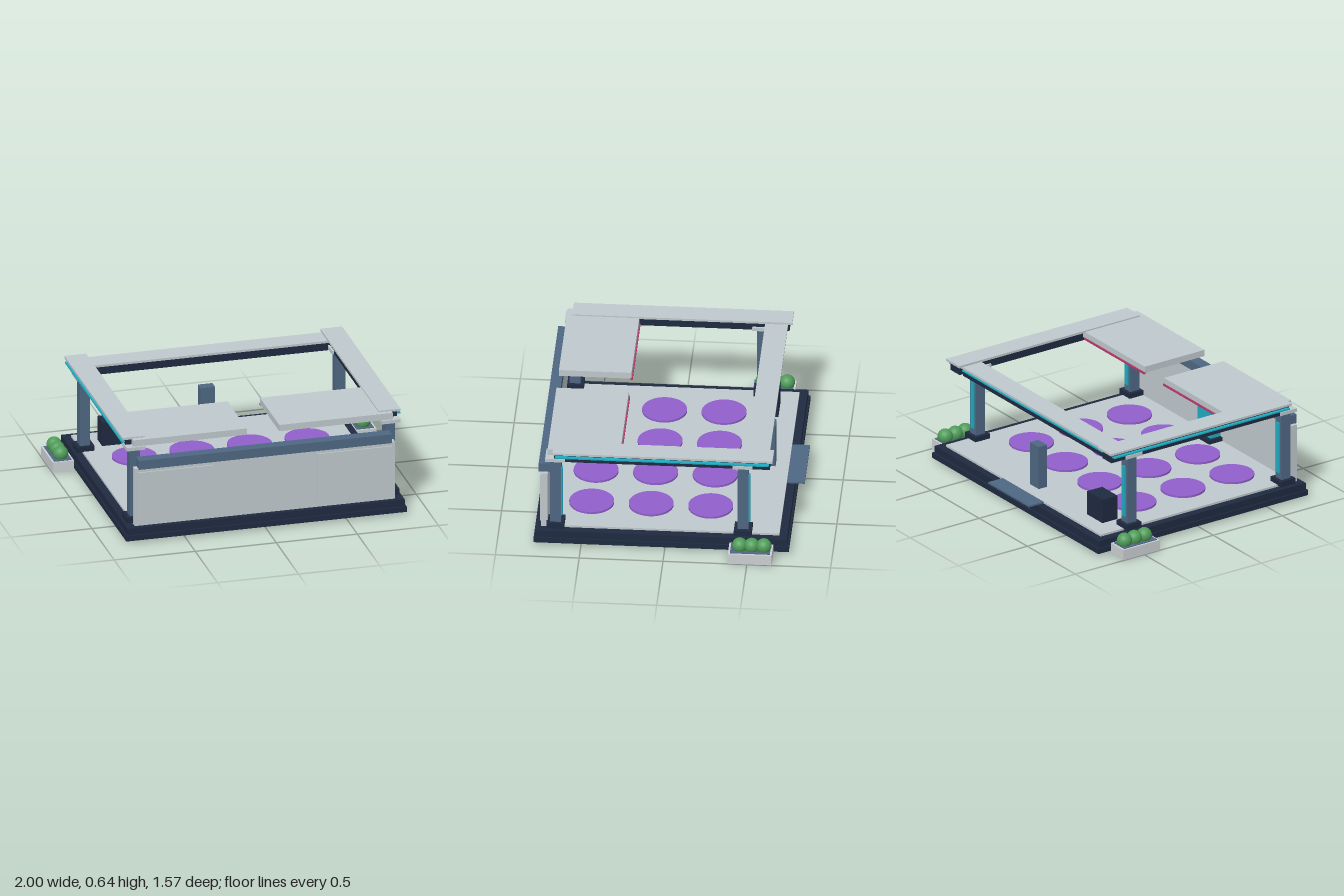
import * as THREE from 'three';

const mat = (name, color) => {
  const m = new THREE.MeshStandardMaterial({ color });
  m.name = name;
  return m;
};

export function createModel() {
  const light = mat('light grey', 0xbfc8cc);
  const pale = mat('pale planter', 0xcbd0d3);
  const navy = mat('dark navy', 0x1f2a41);
  const steel = mat('steel blue', 0x4e6782);
  const purple = mat('purple', 0x915fcb);
  const cyan = mat('cyan', 0x1fabc0);
  const green = mat('leaf green', 0x4f9c59);
  const pink = mat('pink', 0xb8386a);

  const model = new THREE.Group();
  model.name = 'pavilion';

  // Box given by its minimum and maximum on each axis
  const box = (name, material, [x0, x1], [y0, y1], [z0, z1], parent = model) => {
    const mesh = new THREE.Mesh(new THREE.BoxGeometry(x1 - x0, y1 - y0, z1 - z0), material);
    mesh.position.set((x0 + x1) / 2, (y0 + y1) / 2, (z0 + z1) / 2);
    mesh.name = name;
    parent.add(mesh);
    return mesh;
  };
  // x range on one side of the model
  const side = (s, a, b) => (s > 0 ? [a, b] : [-b, -a]);

  // Stepped plinth, floor and rear step
  box('plinthLower', navy, [-0.865, 0.865], [0.015, 0.048], [-0.74, 0.782]);
  box('plinthUpper', navy, [-0.855, 0.855], [0.048, 0.092], [-0.728, 0.772]);
  box('floor', light, [-0.805, 0.805], [0.092, 0.105], [-0.68, 0.7]);
  box('rearStep', steel, [-0.213, 0.213], [0.094, 0.104], [-0.787, -0.681]);

  // Floor pads
  const padGeometry = new THREE.CylinderGeometry(0.134, 0.134, 0.016, 40);
  for (const z of [-0.25, 0.105, 0.46]) {
    for (const x of [-0.533, -0.178, 0.178, 0.533]) {
      const pad = new THREE.Mesh(padGeometry, purple);
      pad.position.set(x, 0.11, z);
      pad.name = 'floorPad';
      model.add(pad);
    }
  }

  // Front wall with top rail
  box('frontWall', light, [-0.803, 0.803], [0.092, 0.46], [0.702, 0.743]);
  box('frontRail', steel, [-0.78, 0.78], [0.458, 0.515], [0.69, 0.758]);

  for (const s of [1, -1]) {
    box('wallPanel', light, side(s, 0.32, 0.785), [0.12, 0.435], [0.743, 0.751]);

    // Columns with base, capital and light strip
    for (const z of [0.655, -0.463]) {
      const column = new THREE.Group();
      column.name = 'column';
      model.add(column);
      box('columnBase', navy, side(s, 0.733, 0.841), [0.1, 0.135], [z - 0.053, z + 0.053], column);
      box('columnShaft', steel, side(s, 0.756, 0.818), [0.135, 0.567], [z - 0.033, z + 0.033], column);
      box('columnCapital', light, side(s, 0.728, 0.844), [0.566, 0.588], [z - 0.06, z + 0.06], column);
      box('columnLight', cyan, side(s, 0.772, 0.802), [0.175, 0.5], [z - 0.042, z - 0.033], column);
    }

    // Side beams
    box('sideBeam', navy, side(s, 0.742, 0.838), [0.567, 0.622], [-0.625, 0.662]);
    box('sideBeamCap', light, side(s, 0.722, 0.857), [0.622, 0.636], [-0.642, 0.67]);
    box('sideBeamLight', cyan, side(s, 0.838, 0.86), [0.6, 0.608], [-0.62, 0.655]);

    // Front canopies with coloured rear trim
    box('canopy', light, side(s, 0.1, 0.8), [0.588, 0.628], [0.27, 0.703]);
    box('canopyTrim', pink, side(s, 0.1, 0.72), [0.58, 0.592], [0.263, 0.275]);

    // Planters with round shrubs
    const planter = new THREE.Group();
    planter.name = 'planter';
    model.add(planter);
    box('planterTray', pale, side(s, 0.866, 0.998), [0, 0.066], [-0.648, -0.386], planter);
    box('planterBed', steel, side(s, 0.878, 0.986), [0.066, 0.07], [-0.636, -0.398], planter);
    for (const z of [-0.597, -0.525, -0.453]) {
      const shrub = new THREE.Mesh(new THREE.SphereGeometry(0.046, 20, 14), green);
      shrub.position.set(s * 0.932, 0.094, z);
      shrub.name = 'shrub';
      planter.add(shrub);
    }
  }

  // Rear beam
  box('rearBeam', navy, [-0.742, 0.742], [0.556, 0.609], [-0.6, -0.495]);
  box('rearBeamCap', light, [-0.742, 0.742], [0.609, 0.623], [-0.617, -0.48]);
  box('rearBeamLight', cyan, [-0.74, 0.74], [0.588, 0.596], [-0.609, -0.6]);

  // Kiosk behind the front wall
  box('kioskBase', navy, [-0.09, 0.09], [0.105, 0.13], [0.605, 0.7]);
  box('kioskBody', cyan, [-0.07, 0.07], [0.13, 0.36], [0.63, 0.7]);
  box('kioskTop', light, [-0.08, 0.08], [0.36, 0.385], [0.615, 0.688]);

  // Rear post and cabinet
  box('rearPost', steel, [-0.045, 0.045], [0.105, 0.378], [-0.6, -0.54]);
  box('cabinet', navy, [-0.672, -0.512], [0.105, 0.256], [-0.575, -0.465]);

  return model;
}
